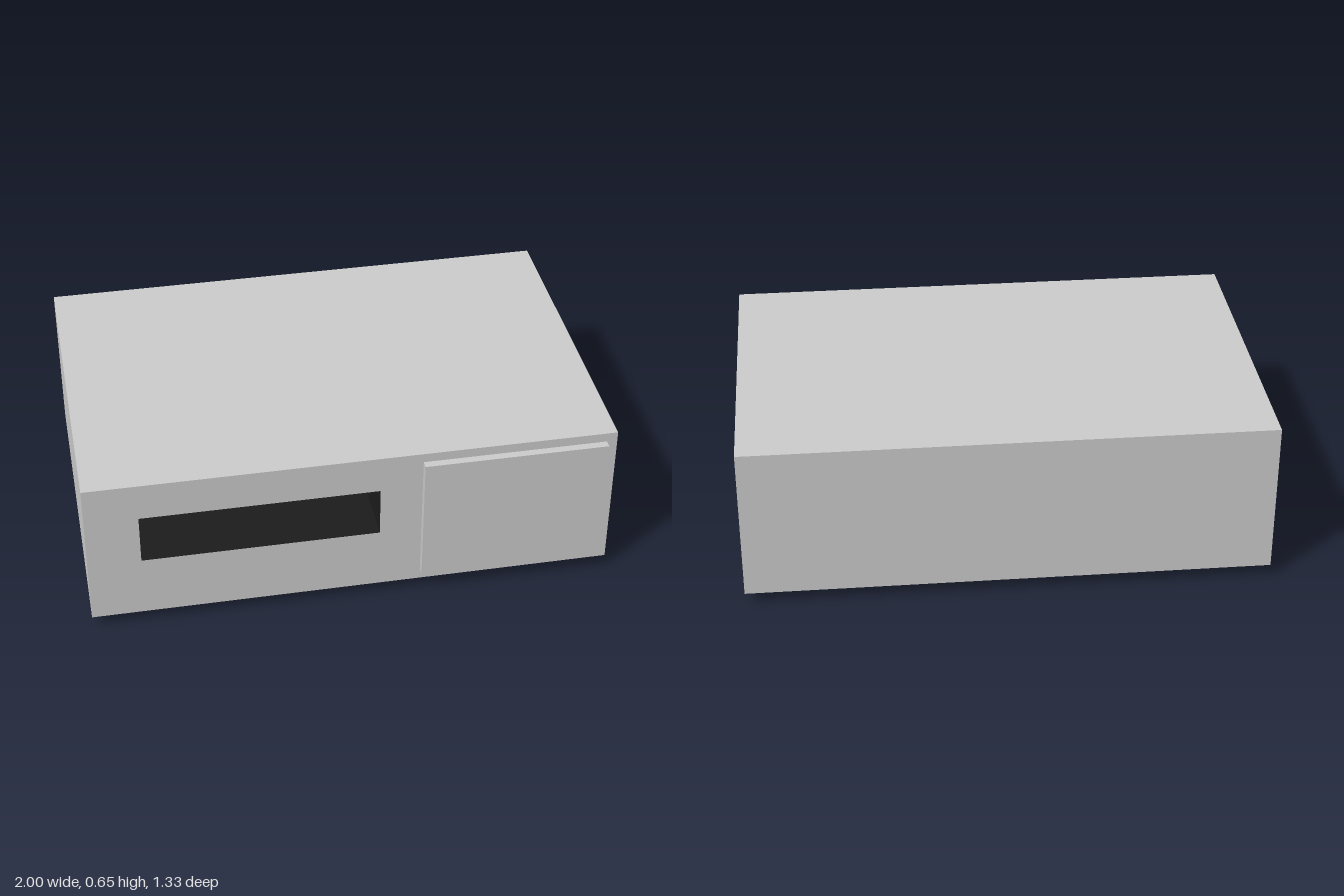
import * as THREE from 'three';

const grey = new THREE.MeshStandardMaterial({ color: 0xcccccc });
const dark = new THREE.MeshStandardMaterial({ color: 0x1c1c1c, side: THREE.DoubleSide });

function add(group, name, geometry, material, x, y, z) {
  const mesh = new THREE.Mesh(geometry, material);
  mesh.name = name;
  mesh.position.set(x, y, z);
  group.add(mesh);
}

// Box without its +z face
function openBox(w, h, d) {
  const box = new THREE.BoxGeometry(w, h, d);
  const index = Array.from(box.index.array);
  index.splice(24, 6);
  box.setIndex(index);
  box.clearGroups();
  return box;
}

function rectangle(path, x0, y0, x1, y1) {
  return path.moveTo(x0, y0).lineTo(x1, y0).lineTo(x1, y1).lineTo(x0, y1).closePath();
}

export function createModel() {
  const model = new THREE.Group();
  model.name = 'boxUnit';
  const front = 0.635, depth = 1.3, slotDepth = 0.5;

  // Casing: five outer sides, plus a front plate cut by the slot
  add(model, 'casing', openBox(2, 0.6, depth), grey, 0, 0.35, front - depth / 2);
  const plate = new THREE.Shape();
  rectangle(plate, -1, 0.05, 1, 0.65);
  const hole = new THREE.Path();
  rectangle(hole, -0.8, 0.3, 0.1, 0.5);
  plate.holes.push(hole);
  add(model, 'frontPlate', new THREE.ShapeGeometry(plate), grey, 0, 0, front);

  // Deep dark recess behind the slot
  add(model, 'slotRecess', openBox(0.9, 0.2, slotDepth), dark, -0.35, 0.4, front - slotDepth / 2);

  // Raised panel on the front
  add(model, 'frontPanel', new THREE.BoxGeometry(0.7, 0.52, 0.03), grey, 0.61, 0.353, front + 0.015);

  // Four round feet
  const foot = new THREE.CylinderGeometry(0.12, 0.12, 0.05, 32);
  for (const x of [-0.8, 0.8])
    for (const z of [-0.465, 0.435])
      add(model, 'foot', foot, grey, x, 0.025, z);

  return model;
}
